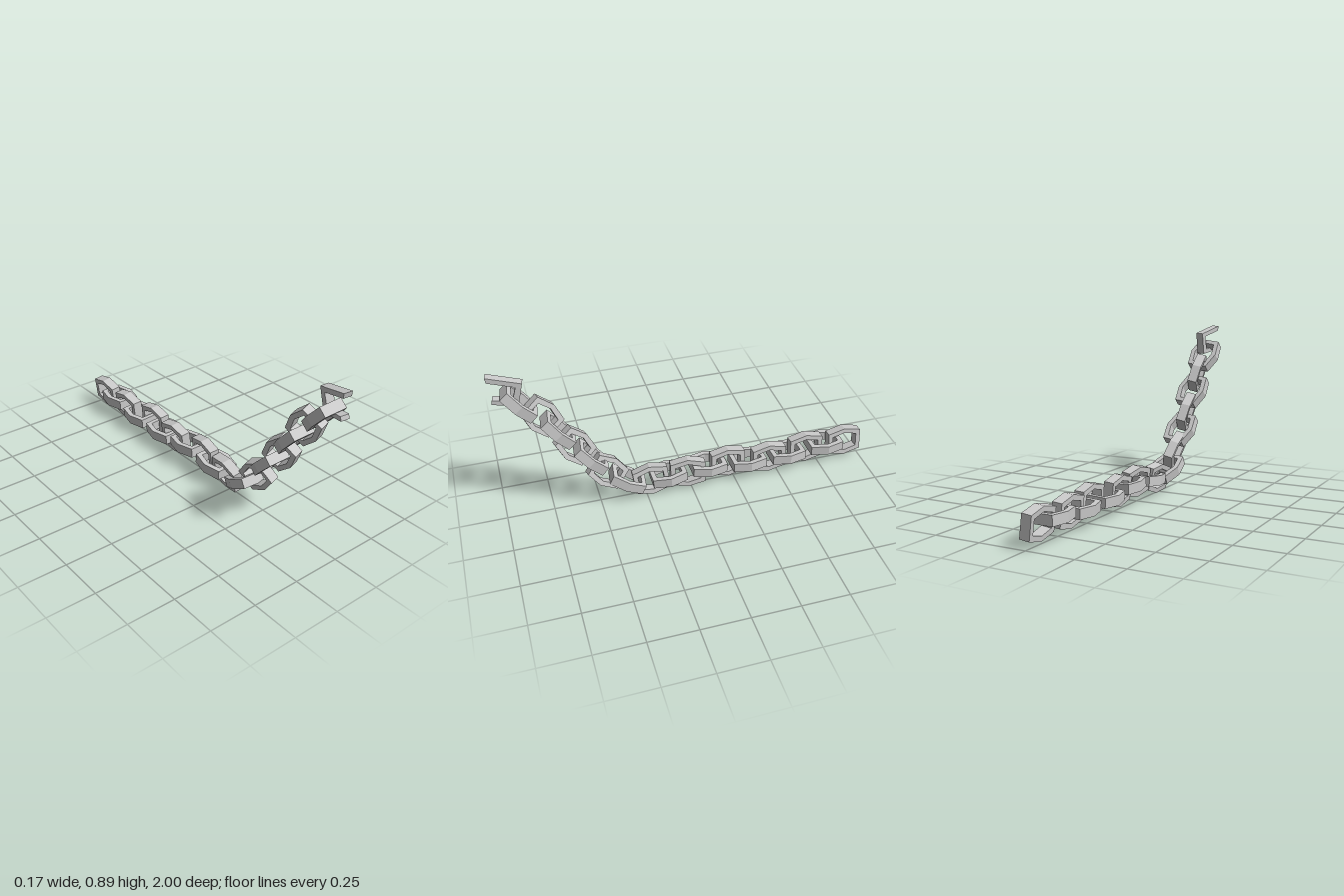
import * as THREE from 'three';

const material = new THREE.MeshStandardMaterial({ color: 0xcccccc, flatShading: true });

// Flat bar outline (x = along the chain, y = up) extruded sideways and centred
function extrudeBar(points, width, hole) {
  const toVectors = (list) => list.map(([x, y]) => new THREE.Vector2(x, y));
  const shape = new THREE.Shape(toVectors(points));
  if (hole) shape.holes.push(new THREE.Path(toVectors(hole)));
  const geometry = new THREE.ExtrudeGeometry(shape, { depth: width, bevelEnabled: false });
  geometry.translate(0, 0, -width / 2);
  geometry.rotateY(-Math.PI / 2); // length now runs along z
  return geometry;
}

// Six-sided link outline: flat ends, sides bent outwards in the middle
const hexagon = (end, endHalf, midHalf) => [
  [end, -endHalf], [end, endHalf], [0, midHalf],
  [-end, endHalf], [-end, -endHalf], [0, -midHalf],
];

export function createModel() {
  const group = new THREE.Group();
  const linkGeometry = extrudeBar(hexagon(0.095, 0.06, 0.0825), 0.053, hexagon(0.07, 0.038, 0.056));

  // Each link: z, y, tilt (front end up, degrees), x, yaw, roll; upright and flat alternate
  const links = [
    [-0.905, 0.108, 0, -0.002, 0, 0.12],
    [-0.785, 0.115, 0, 0, 0, 0],
    [-0.675, 0.108, 0, -0.006, 0, 0.1],
    [-0.56, 0.095, 0, 0, 0, 0.06],
    [-0.445, 0.108, 0, 0.02, 0, 0.06],
    [-0.33, 0.095, 0, 0, 0, 0.06],
    [-0.215, 0.108, 0, -0.006, 0, 0.1],
    [-0.1, 0.115, 2, 0, 0, 0],
    [0.02, 0.108, 0, 0.018, -0.12, 0.12],
    [0.125, 0.1, -5, 0, 0, 0],
    [0.22, 0.09, -7, 0, -0.05, 0.2],
    [0.35, 0.117, 27, 0, -0.15, 0],
    [0.455, 0.2, 39, 0, -0.06, 0.28],
    [0.535, 0.312, 45, 0, -0.15, 0],
    [0.612, 0.405, 50, 0, -0.06, 0.28],
    [0.688, 0.518, 48, 0, -0.15, 0],
    [0.76, 0.62, 52, 0, -0.06, 0.28],
    [0.86, 0.718, 47, 0, -0.15, 0],
  ];
  links.forEach(([z, y, tilt, x, yaw, roll], i) => {
    const upright = i % 2 === 0;
    const link = new THREE.Mesh(linkGeometry, material);
    link.name = (upright ? 'uprightLink' : 'flatLink') + (i + 1);
    link.position.set(x, y, z);
    link.rotation.set(-THREE.MathUtils.degToRad(tilt), yaw, roll + (upright ? 0 : Math.PI / 2));
    group.add(link);
  });

  // Broken last link: long upper bar, closed end and short lower bar
  const broken = new THREE.Mesh(extrudeBar([
    [0.1, 0.075], [-0.07, 0.035], [-0.042, -0.087], [0.085, -0.07],
    [0.08, -0.047], [-0.015, -0.06], [-0.037, 0.017], [0.095, 0.048],
  ], 0.045), material);
  broken.name = 'brokenLink';
  broken.position.set(0.012, 0.815, 0.9);
  broken.rotation.set(0, -0.18, 0.06);
  group.add(broken);

  return group;
}
